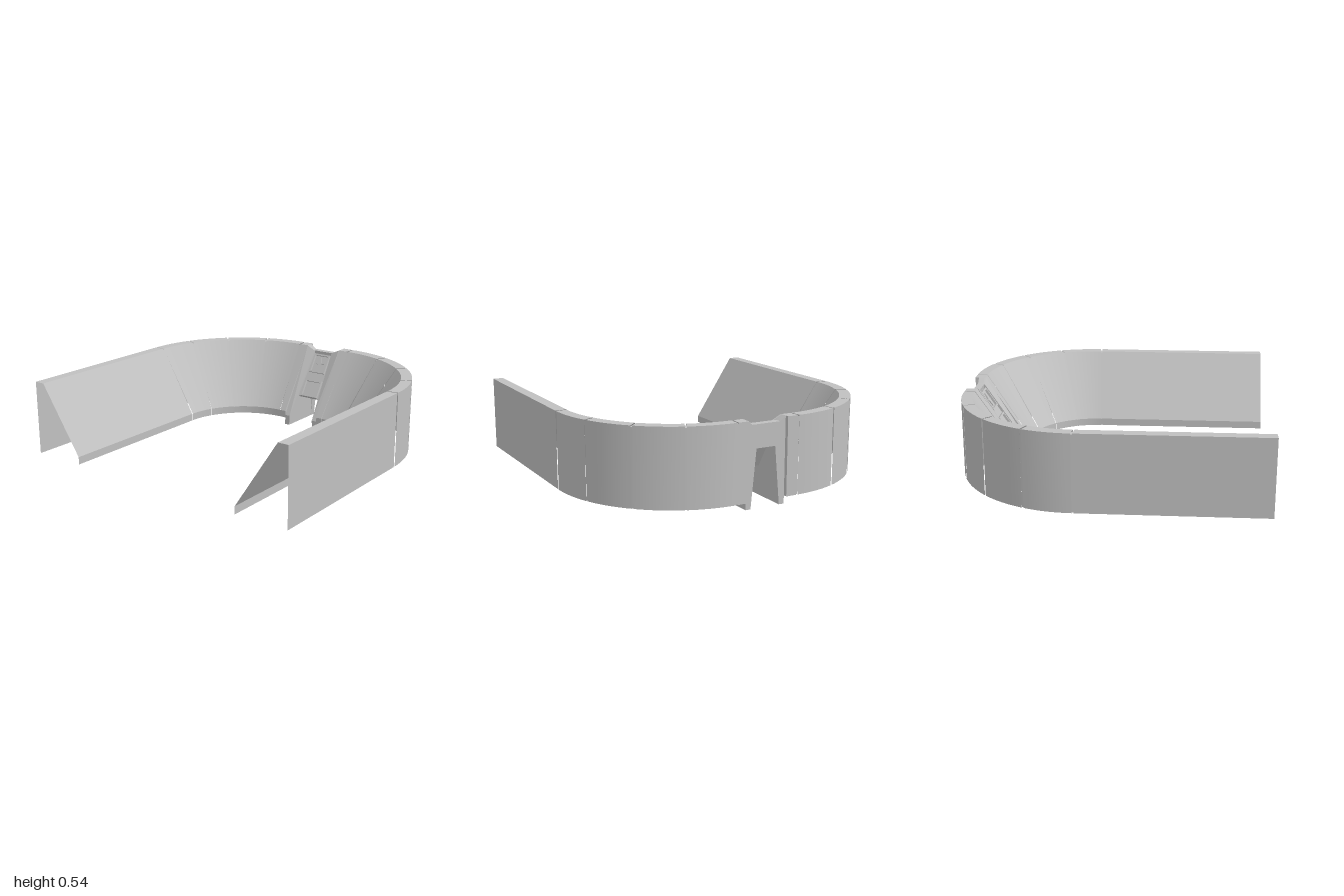
import * as THREE from 'three';
import { mergeGeometries } from 'three/addons/utils/BufferGeometryUtils.js';

const grey = new THREE.MeshStandardMaterial({ color: 0xc0c0c0, side: THREE.DoubleSide });
grey.name = 'light grey';

// Wall cross-section, outer foot to inner lip: [v across (0 inner, 1 outer), height]
const PROFILE = [[1, 0.05], [1, 0.54], [0.806, 0.54], [0, 0.1], [0, 0.05]];
// The same section sunk slightly, for the joint grooves
const SUNK = [[0.975, 0.05], [0.975, 0.53], [0.806, 0.53], [0.025, 0.094], [0.025, 0.05]];

// Ground position of a section point at a station on the path
function plan(st, v) {
  const r = 0.46 + 0.33 * v, cx = 0.17 + 0.03 * v, cz = 0.18 + 0.03 * v;
  if (st.x !== undefined) return [st.x, cz + r];
  if (st.z !== undefined) return [cx + r, st.z];
  return [cx + r * Math.cos(st.a), cz + r * Math.sin(st.a)];
}

// One strip per section edge: smooth along the path, sharp across it
function loft(stations, profile, side) {
  const strips = [];
  for (let e = 0; e < profile.length - 1; e++) {
    const pos = [], idx = [];
    stations.forEach((st, i) => {
      for (const [v, y] of [profile[e], profile[e + 1]]) {
        const [x, z] = plan(st, v);
        pos.push(x, y, z * side);
      }
      if (i === 0) return;
      const a = 2 * i - 2, b = a + 1, c = a + 2, d = a + 3;
      if (side > 0) idx.push(a, b, c, b, d, c);
      else idx.push(a, c, b, b, c, d);
    });
    const g = new THREE.BufferGeometry();
    g.setAttribute('position', new THREE.Float32BufferAttribute(pos, 3));
    g.setIndex(idx);
    g.computeVertexNormals();
    strips.push(g);
  }
  return mergeGeometries(strips);
}

function arc(a0, a1, n) {
  return Array.from({ length: n + 1 }, (_, i) => ({ a: a0 + (a1 - a0) * i / n }));
}

function add(parent, name, geometry) {
  const m = new THREE.Mesh(geometry, grey);
  m.name = name;
  parent.add(m);
  return m;
}

function polygon(points) {
  return new THREE.Shape(points.map(([x, y]) => new THREE.Vector2(x, y)));
}

// One half of the U: straight wing, four curved panels, stub beside the gate
function buildWall(side, endX) {
  const g = new THREE.Group();
  g.name = side > 0 ? 'frontWall' : 'backWall';
  const q = Math.PI / 2, gap = 0.007;
  add(g, 'straightWall', loft([{ a: q + gap }, { x: endX }], PROFILE, side));
  for (let i = 0; i < 4; i++) {
    add(g, 'curvedPanel', loft(arc(q * i / 4 + gap, q * (i + 1) / 4 - gap, 8), PROFILE, side));
  }
  for (let i = 0; i <= 4; i++) {
    add(g, 'jointGroove', loft(arc(q * i / 4 - 0.015, q * i / 4 + 0.015, 2), SUNK, side));
  }
  add(g, 'gateStub', loft([{ z: 0.135 }, { a: -gap }], PROFILE, side));
  // Closed end facing the gate
  const cap = new THREE.ShapeGeometry(polygon(PROFILE.map(([v, y]) => [0.63 + 0.36 * v, y])));
  add(g, 'stubEnd', cap).position.z = 0.136 * side;
  return g;
}

// Gate leg: wedge profile whose inner face leans in and whose top is chamfered
function legGeometry() {
  const shape = polygon([[0.63, 0], [0.925, 0], [0.925, 0.54], [0.915, 0.54], [0.63, 0.07]]);
  const g = new THREE.ExtrudeGeometry(shape, { depth: 1, bevelEnabled: false });
  const p = g.attributes.position;
  for (let i = 0; i < p.count; i++) {
    const y = p.getY(i);
    if (p.getZ(i) > 0.5) p.setZ(i, 0.135);
    else {
      p.setZ(i, 0.1 - 0.05 * y);
      p.setY(i, Math.min(y, 0.51));
    }
  }
  g.computeVertexNormals();
  return g;
}

// Raised rectangular frame on the gate panel
function addFrame(parent, y0, y1, halfWidth) {
  const t = 0.012, h = y1 - y0, mid = (y0 + y1) / 2;
  for (const s of [-1, 1]) {
    add(parent, 'frameSide', new THREE.BoxGeometry(0.018, h, t))
      .position.set(-0.006, mid, s * (halfWidth - t / 2));
    add(parent, 'frameRail', new THREE.BoxGeometry(0.018, t, 2 * halfWidth))
      .position.set(-0.006, mid + s * (h - t) / 2, 0);
  }
}

function buildGate() {
  const gate = new THREE.Group();
  gate.name = 'gate';

  for (const s of [1, -1]) add(gate, 'gateLeg', legGeometry()).scale.z = s;

  // Outer face with the tapered doorway
  const arch = new THREE.ExtrudeGeometry(polygon([
    [-0.135, 0], [-0.1, 0], [-0.065, 0.365], [0.065, 0.365], [0.1, 0], [0.135, 0],
    [0.135, 0.54], [0.095, 0.51], [-0.095, 0.51], [-0.135, 0.54],
  ]), { depth: 0.045, bevelEnabled: false });
  arch.rotateY(Math.PI / 2);
  add(gate, 'gateArch', arch).position.x = 0.92;

  // Leaning inner panel, local y running up the slope
  const panel = new THREE.Group();
  panel.name = 'slopedPanel';
  panel.position.set(0.735, 0.205, 0);
  panel.rotation.z = -0.583;
  gate.add(panel);
  add(panel, 'panelSlab', new THREE.BoxGeometry(0.025, 0.35, 0.18)).position.set(0.0125, 0.175, 0);
  addFrame(panel, 0, 0.13, 0.07);
  addFrame(panel, 0.19, 0.335, 0.065);

  // Four-pointed ornament in the upper frame
  const star = [];
  for (let i = 0; i < 8; i++) {
    const r = i % 2 ? 0.01 : (i % 4 ? 0.035 : 0.05), a = Math.PI / 2 + i * Math.PI / 4;
    star.push([r * Math.cos(a), r * Math.sin(a)]);
  }
  const ornament = new THREE.ExtrudeGeometry(polygon(star), { depth: 0.008, bevelEnabled: false });
  ornament.rotateY(-Math.PI / 2);
  add(panel, 'starOrnament', ornament).position.set(0, 0.262, 0);
  return gate;
}

export function createModel() {
  const model = new THREE.Group();
  model.name = 'curvedWall';
  model.add(buildWall(1, -1), buildWall(-1, -0.965), buildGate());
  return model;
}
